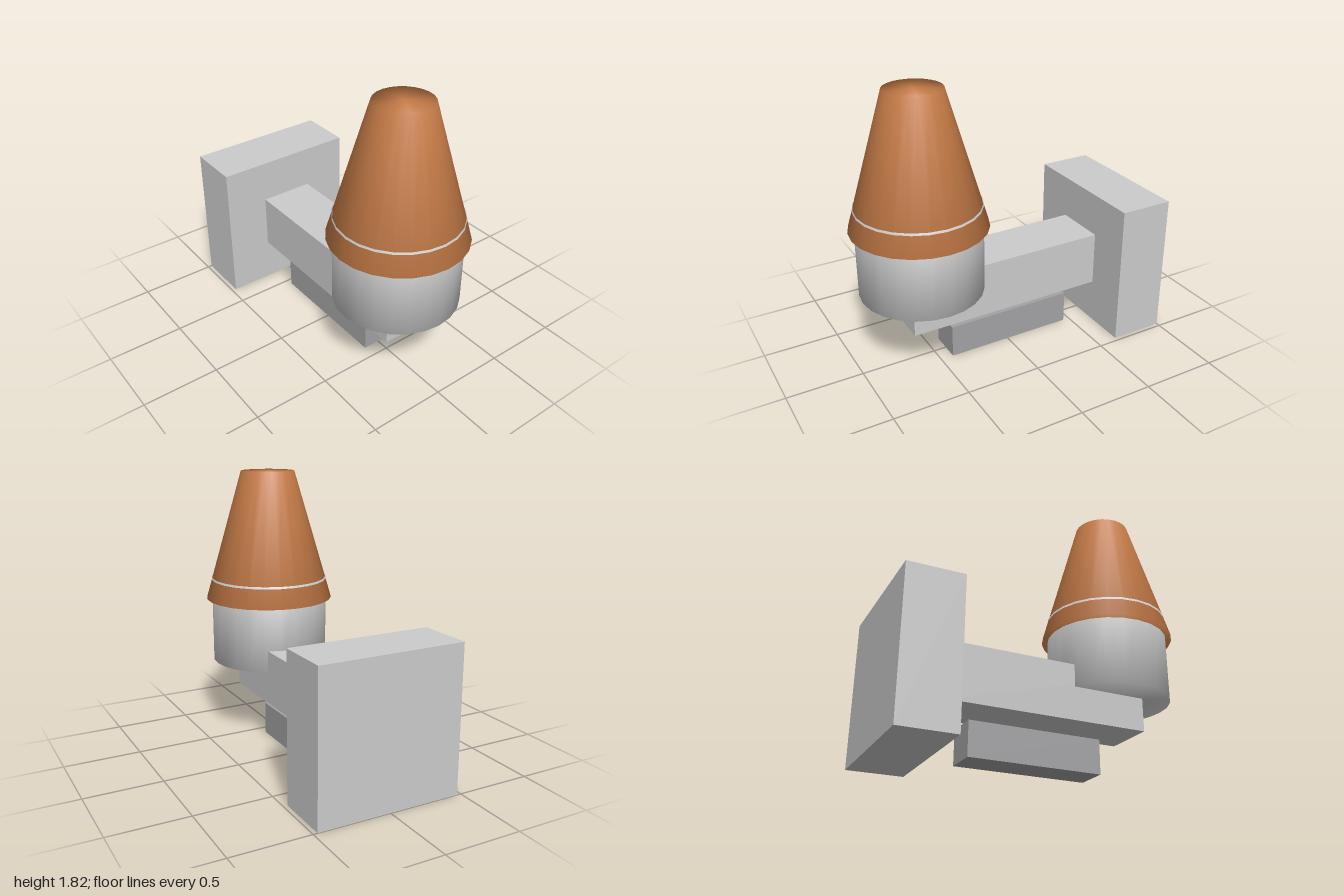
import * as THREE from 'three';
import { mergeVertices } from 'three/addons/utils/BufferGeometryUtils.js';

const grey = new THREE.MeshStandardMaterial({ color: 0xcccccc });
const darkGrey = new THREE.MeshStandardMaterial({ color: 0xa3a3a5 });
const orange = new THREE.MeshStandardMaterial({ color: 0xc87d48 });

const HEAD_X = 0.565;

export function createModel() {
  const group = new THREE.Group();

  const add = (name, geometry, material, x, y) => {
    const mesh = new THREE.Mesh(geometry, material);
    mesh.name = name;
    mesh.position.set(x, y, 0);
    group.add(mesh);
  };

  // Box given by its x and y ranges and its depth, centred on z
  const box = (name, x0, x1, y0, y1, depth, material) =>
    add(name, new THREE.BoxGeometry(x1 - x0, y1 - y0, depth), material, (x0 + x1) / 2, (y0 + y1) / 2);

  // Closed round part whose shading runs smoothly across the cap edges
  const round = (name, rTop, rBottom, y0, y1, material) => {
    let geometry = new THREE.CylinderGeometry(rTop, rBottom, y1 - y0, 24);
    geometry.deleteAttribute('normal');
    geometry.deleteAttribute('uv');
    geometry = mergeVertices(geometry, 1e-4);
    geometry.computeVertexNormals();
    add(name, geometry, material, HEAD_X, (y0 + y1) / 2);
  };

  // Mounting plate, arm and the darker bar under it
  box('mountingPlate', -1, -0.64, 0, 0.945, 0.945, grey);
  box('arm', -0.64, 0.705, 0.295, 0.66, 0.36, grey);
  box('lowerBar', -0.455, 0.415, 0, 0.22, 0.22, darkGrey);

  // Cup, whose top rim just breaks through the tapered cone
  round('cup', 0.397, 0.397, 0.513, 1.095, grey);
  round('cone', 0.182, 0.435, 0.95, 1.82, orange);

  return group;
}
